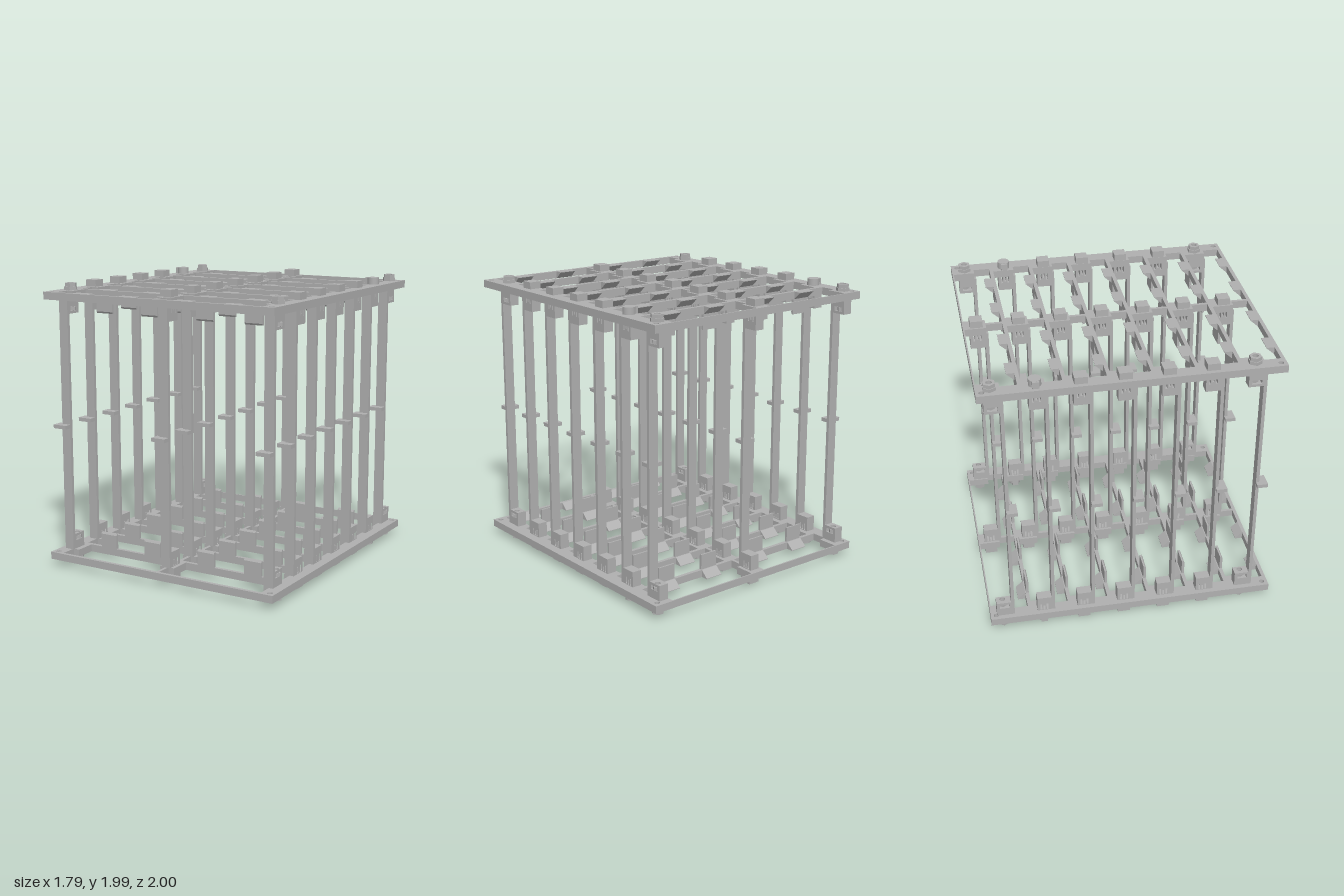
import * as THREE from 'three';

const MID = 0.995;                       // height of the mirror plane between the two end frames
const PITCH = 0.2845;
const bars = Array.from({ length: 7 }, (_, k) => -0.719 + PITCH * k);
const postX = [-0.825, -0.004, 0.796];
const boltX = [-0.817, 0, 0.809];

const grey = new THREE.MeshStandardMaterial({ color: 0xb0b0b0 });
grey.name = 'grey plastic';

function add(group, name, geo) {
  const m = new THREE.Mesh(geo, grey);
  m.name = name;
  group.add(m);
  return m;
}

// box from its limits
function box(group, name, x0, x1, y0, y1, z0, z1) {
  const g = new THREE.BoxGeometry(x1 - x0, Math.abs(y1 - y0), z1 - z0);
  g.translate((x0 + x1) / 2, (y0 + y1) / 2, (z0 + z1) / 2);
  return add(group, name, g);
}

const poly = (pts) => pts.map(([a, b]) => new THREE.Vector2(a, b));

// plan outline (x, z) extruded between two heights
function slab(shape, y0, y1) {
  const lo = Math.min(y0, y1), hi = Math.max(y0, y1);
  const g = new THREE.ExtrudeGeometry(shape, { depth: hi - lo, bevelEnabled: false, curveSegments: 10 });
  g.rotateX(Math.PI / 2);
  g.translate(0, hi, 0);
  return g;
}

// side outline (z, y) extruded between two x positions
function side(shape, x0, x1) {
  const g = new THREE.ExtrudeGeometry(shape, { depth: x1 - x0, bevelEnabled: false });
  g.rotateY(-Math.PI / 2);
  g.translate(x1, 0, 0);
  return g;
}

function hole(x, z, r) {
  return new THREE.Path().absarc(x, z, r, 0, Math.PI * 2, true);
}

function rectShape(x0, x1, z0, z1) {
  return new THREE.Shape(poly([[x0, z0], [x1, z0], [x1, z1], [x0, z1]]));
}

// hexagonal ring around a bolt hole
function hexRing(x, z, r) {
  const s = new THREE.Shape(poly(Array.from({ length: 6 }, (_, i) => {
    const a = i * Math.PI / 3;
    return [x + r * Math.cos(a), z + r * Math.sin(a)];
  })));
  s.holes.push(hole(x, z, 0.02));
  return s;
}

// end frame, s = 1 for the top and -1 for the bottom
function buildFrame(s) {
  const f = new THREE.Group();
  f.name = s > 0 ? 'topFrame' : 'bottomFrame';
  const Y = (d) => MID + s * d;
  const IN = 0.895, OUT = 0.947, END = 0.995, TIP = 0.787;

  // plate with two stepped windows per bay and holes for bolts
  const plate = rectShape(-0.895, 0.895, -1, 1);
  for (const c of bars) {
    const z0 = c - PITCH + 0.013, z1 = c - 0.013, zn = z0 + 0.147;
    for (const m of [-1, 1]) {
      plate.holes.push(new THREE.Path(poly([
        [0.057, z0], [0.752, z0], [0.752, zn], [0.8, zn],
        [0.8, z1], [0.011, z1], [0.011, zn], [0.057, zn],
      ].map(([x, z]) => [m * x, z]))));
    }
  }
  for (const x of [-0.855, 0.855]) for (const z of [-0.96, 0.96]) plate.holes.push(hole(x, z, 0.018));
  for (const x of [boltX[0], boltX[2]]) for (const c of [bars[0], bars[6]]) plate.holes.push(hole(x, c - 0.19, 0.02));
  add(f, 'framePlate', slab(plate, Y(IN), Y(OUT)));

  bars.forEach((c, k) => {
    // guide ramps and fins along the crossbar
    for (const x of [-0.595, -0.223, 0.217, 0.586]) {
      const ramp = new THREE.Shape(poly([
        [c - 0.013, Y(IN)], [c - 0.013, Y(OUT)], [c - 0.066, Y(OUT)], [c - 0.066, Y(OUT - 0.004)],
      ]));
      add(f, 'guideRamp', side(ramp, x - 0.066, x + 0.066));
      if (k < 6) {
        const fin = new THREE.Shape(poly([
          [c - 0.006, Y(IN + 0.02)], [c + 0.013, Y(IN + 0.02)], [c + 0.013, Y(TIP + 0.012)],
          [c + 0.006, Y(TIP)], [c - 0.006, Y(TIP)],
        ]));
        add(f, 'guideFin', side(fin, x - 0.066, x + 0.066));
      }
    }

    postX.forEach((x, i) => {
      const a = x - 0.035, b = x + 0.035, z0 = c - 0.235, z1 = c - 0.121;
      const zb = c - 0.19, bx = boltX[i];
      if (i !== 1 && (k === 0 || k === 6)) {
        // bolted corner socket: bored block with a slot holding a nut
        for (const [d0, d1] of [[TIP, 0.805], [0.835, IN]]) {
          const s0 = rectShape(a, b, z0, z1);
          s0.holes.push(hole(bx, zb, 0.02));
          add(f, 'cornerSocket', slab(s0, Y(d0), Y(d1)));
        }
        box(f, 'socketWall', a, b, Y(0.805), Y(0.835), z0, z0 + 0.022);
        box(f, 'socketWall', a, b, Y(0.805), Y(0.835), z1 - 0.026, z1);
        add(f, 'lockNut', slab(hexRing(bx, zb, 0.032), Y(0.808), Y(0.832)));
        add(f, 'hexCollar', slab(hexRing(bx, zb, 0.048), Y(OUT), Y(0.97)));
        add(f, 'boltHead', slab(hexRing(bx, zb, 0.042), Y(0.97), Y(END)));
        return;
      }
      // clip socket with narrow spring slots
      const clip = new THREE.Shape(poly([[z0, Y(TIP)], [z1, Y(TIP)], [z1, Y(IN)], [z0, Y(IN)]]));
      for (const [o, d] of [[-0.209, 0.842], [-0.187, 0.855], [-0.165, 0.842]]) {
        clip.holes.push(new THREE.Path(poly([
          [c + o - 0.006, Y(d)], [c + o + 0.006, Y(d)],
          [c + o + 0.006, Y(IN - 0.004)], [c + o - 0.006, Y(IN - 0.004)],
        ])));
      }
      add(f, 'clipSocket', side(clip, a, b));
      if (i !== 1 && k === 1) {
        // round keyed stud
        const g = new THREE.CylinderGeometry(0.042, 0.042, END - OUT, 24);
        g.translate(bx, Y((OUT + END) / 2), zb);
        add(f, 'keyedStud', g);
        box(f, 'studKey', bx - 0.055, bx + 0.03, Y(OUT), Y(END - 0.002), zb - 0.022, zb + 0.022);
      } else {
        box(f, 'socketCap', x - 0.042, x + 0.042, Y(OUT), Y(END), c - 0.232, c - 0.146);
      }
    });
  });
  return f;
}

export function createModel() {
  const model = new THREE.Group();
  model.name = 'slottedRack';
  model.add(buildFrame(1), buildFrame(-1));

  // upright strips with a side tab at mid height
  const uprights = new THREE.Group();
  uprights.name = 'uprights';
  for (const c of bars) {
    for (const x of postX) {
      box(uprights, 'upright', x - 0.035, x + 0.035, 0.1, 1.89, c - 0.134, c - 0.111);
      box(uprights, 'uprightTab', x - 0.07, x + 0.035, 0.982, 1.008, c - 0.133, c - 0.058);
    }
  }
  model.add(uprights);
  return model;
}
